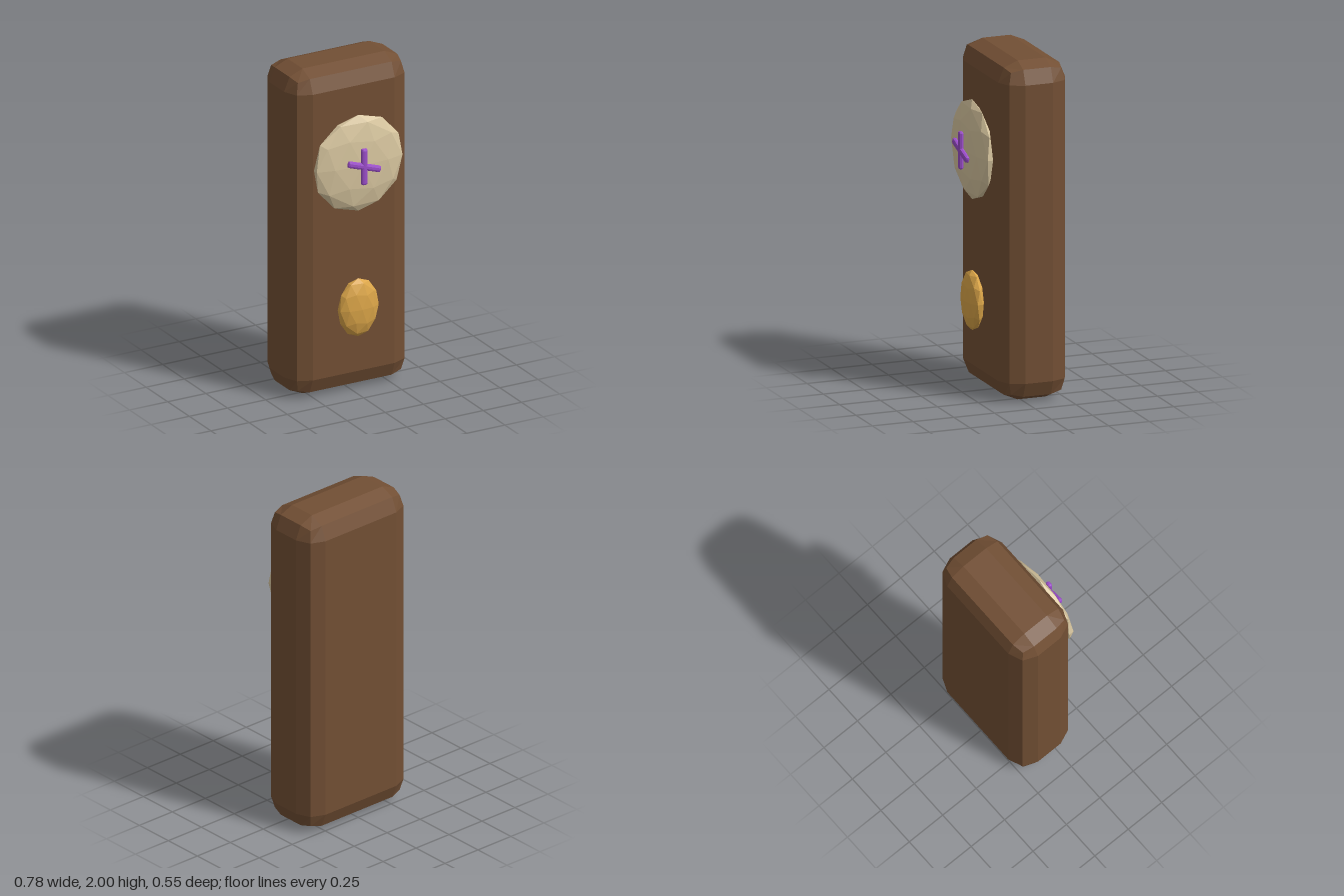
import * as THREE from 'three';
import { RoundedBoxGeometry } from 'three/addons/geometries/RoundedBoxGeometry.js';

const mat = (name, color) => {
  const m = new THREE.MeshStandardMaterial({ color, flatShading: true });
  m.name = name;
  return m;
};

export function createModel() {
  const brown = mat('brown', 0x724f34);
  const cream = mat('cream', 0xd9c7a0);
  const gold = mat('gold', 0xdba548);
  const purple = mat('purple', 0x9b4dca);

  const model = new THREE.Group();
  const add = (name, geometry, material, x, y, z) => {
    const mesh = new THREE.Mesh(geometry, material);
    mesh.name = name;
    mesh.position.set(x, y, z);
    model.add(mesh);
    return mesh;
  };

  // Faceted ball with a corner pointing up, squashed to a lens
  const lens = (rx, ry, rz) => new THREE.IcosahedronGeometry(1, 1)
    .rotateX(-Math.atan((1 + Math.sqrt(5)) / 2))
    .rotateY(Math.PI / 2)
    .scale(rx, ry, rz);

  // Chamfered upright slab
  add('body', new RoundedBoxGeometry(0.776, 2, 0.41, 1, 0.12), brown, 0, 1, -0.07);

  // Two flattened discs on the front
  add('upperDisc', lens(0.295, 0.295, 0.053), cream, 0, 1.427, 0.187);
  add('lowerDisc', lens(0.132, 0.178, 0.051), gold, 0, 0.537, 0.187);

  // Crossed bars in front of the upper disc
  [['uprightBar', 0], ['slantedBar', 1.25]].forEach(([name, angle]) => {
    const bar = add(name, new RoundedBoxGeometry(0.04, 0.225, 0.028, 1, 0.013), purple, 0, 1.427, 0.257);
    bar.rotation.z = angle;
  });

  return model;
}
